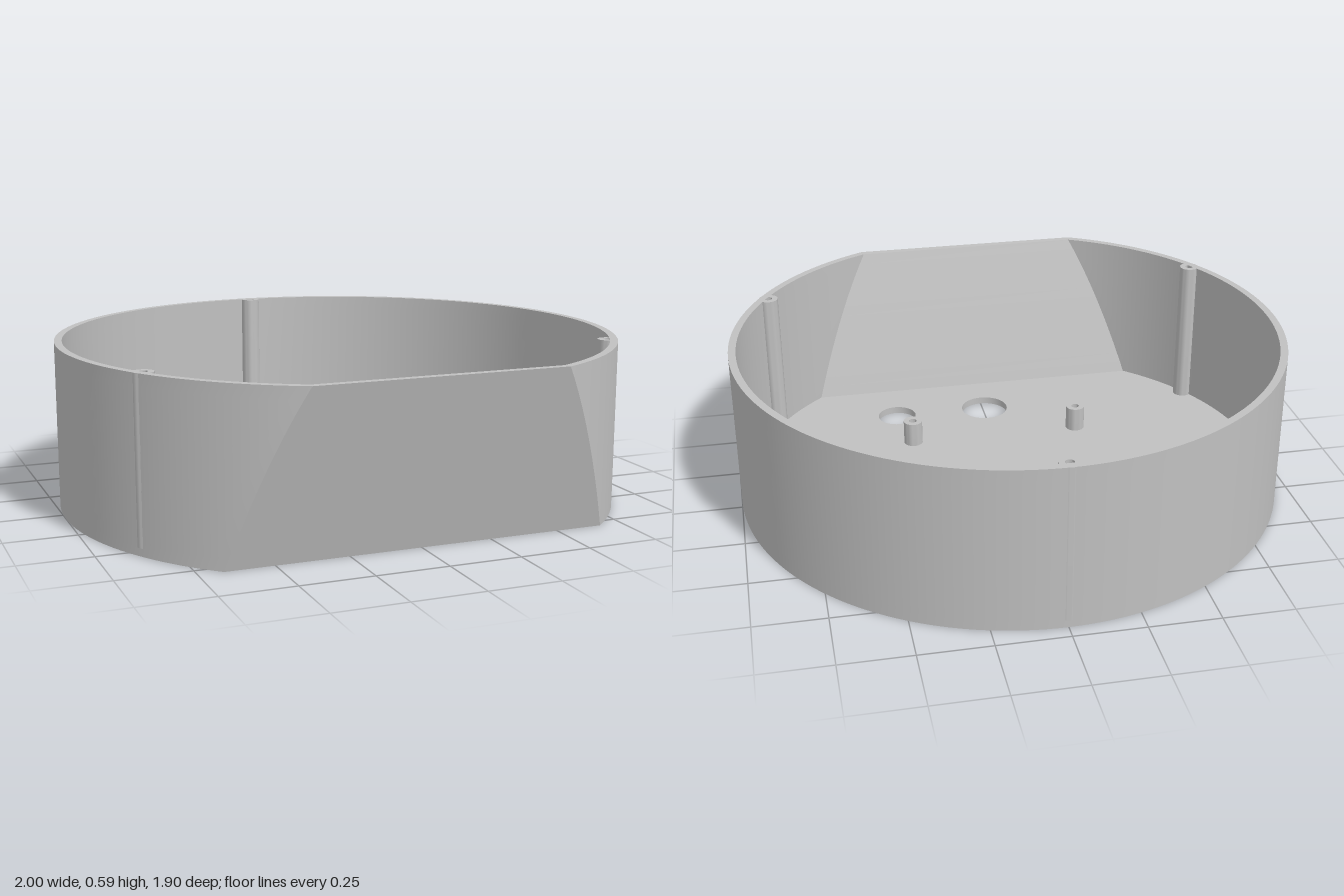
import * as THREE from 'three';
import { toCreasedNormals } from 'three/addons/utils/BufferGeometryUtils.js';

const R = 1, CZ = 0.05, H = 0.59, T = 0.027, N = 128, LEVELS = 14;

// front cut plane leans outward with height
const cutZ = (y) => 0.795 + (0.155 * y) / H;

// circle of given inset, truncated by the front plane at height y
function outline(y, inset) {
  const r = R - inset, a0 = Math.acos((cutZ(y) - inset - CZ) / r);
  return Array.from({ length: N + 1 }, (_, i) => {
    const a = a0 + ((2 * Math.PI - 2 * a0) * i) / N;
    return [r * Math.sin(a), CZ + r * Math.cos(a)];
  });
}

// closed wall: underside rim, outer face, top rim, inner face
function wallGeometry() {
  const rings = [];
  const add = (y, pts) => rings.push(pts.map(([x, z]) => [x, y, z]));
  add(0, outline(T, T));
  for (let k = 0; k <= LEVELS; k++) add((H * k) / LEVELS, outline((H * k) / LEVELS, 0));
  for (let k = LEVELS; k >= 0; k--) {
    const y = T + ((H - T) * k) / LEVELS;
    add(y, outline(y, T));
  }
  const M = N + 1, index = [];
  for (let r = 0; r < rings.length - 1; r++) {
    for (let i = 0; i < M; i++) {
      const j = (i + 1) % M;
      const a = r * M + i, b = r * M + j, c = b + M, d = a + M;
      index.push(a, b, c, a, c, d);
    }
  }
  const g = new THREE.BufferGeometry();
  g.setAttribute('position', new THREE.Float32BufferAttribute(rings.flat(2), 3));
  g.setIndex(index);
  return toCreasedNormals(g, 0.3);
}

// floor plate with vent slots and two round openings
function floorGeometry() {
  const shape = new THREE.Shape(outline(T, T).map(([x, z]) => new THREE.Vector2(x, z)));
  for (let i = -3; i <= 3; i++) {
    const x = i * 0.1015, r = 0.025, slot = new THREE.Path();
    slot.absarc(x, -0.68, r, Math.PI, 2 * Math.PI, false);
    slot.absarc(x, -0.277, r, 0, Math.PI, false);
    slot.closePath();
    shape.holes.push(slot);
  }
  for (const [x, z, r] of [[0, 0.553, 0.092], [0.36, 0.553, 0.075]]) {
    shape.holes.push(new THREE.Path().absarc(x, z, r, 0, Math.PI * 2, false));
  }
  const g = new THREE.ExtrudeGeometry(shape, { depth: T, bevelEnabled: false, curveSegments: 20 });
  g.rotateX(Math.PI / 2).translate(0, T, 0);
  return toCreasedNormals(g, 0.5);
}

// hollow screw post rising from the floor
function postGeometry(top) {
  const profile = [[0.036, T], [0.036, top], [0.015, top], [0.015, T]];
  const g = new THREE.LatheGeometry(profile.map(([x, y]) => new THREE.Vector2(x, y)), 28);
  return toCreasedNormals(g, 0.5);
}

export function createModel() {
  const model = new THREE.Group();
  model.name = 'enclosure';
  const grey = new THREE.MeshStandardMaterial({ color: 0xc0c0c0 });
  grey.name = 'grey plastic';
  const add = (name, geometry, x = 0, z = 0) => {
    const mesh = new THREE.Mesh(geometry, grey);
    mesh.name = name;
    mesh.position.set(x, 0, z);
    model.add(mesh);
  };

  add('wall', wallGeometry());
  add('floor', floorGeometry());

  // short board posts
  const short = postGeometry(0.12);
  for (const x of [-0.325, 0.325]) {
    for (const z of [-0.23, 0.322]) add('boardPost', short, x, z);
  }

  // tall lid posts, spaced evenly around the wall
  const tall = postGeometry(H);
  for (const deg of [60, 180, 300]) {
    const a = (deg * Math.PI) / 180, d = 0.966;
    add('lidPost', tall, d * Math.sin(a), CZ + d * Math.cos(a));
  }
  return model;
}
